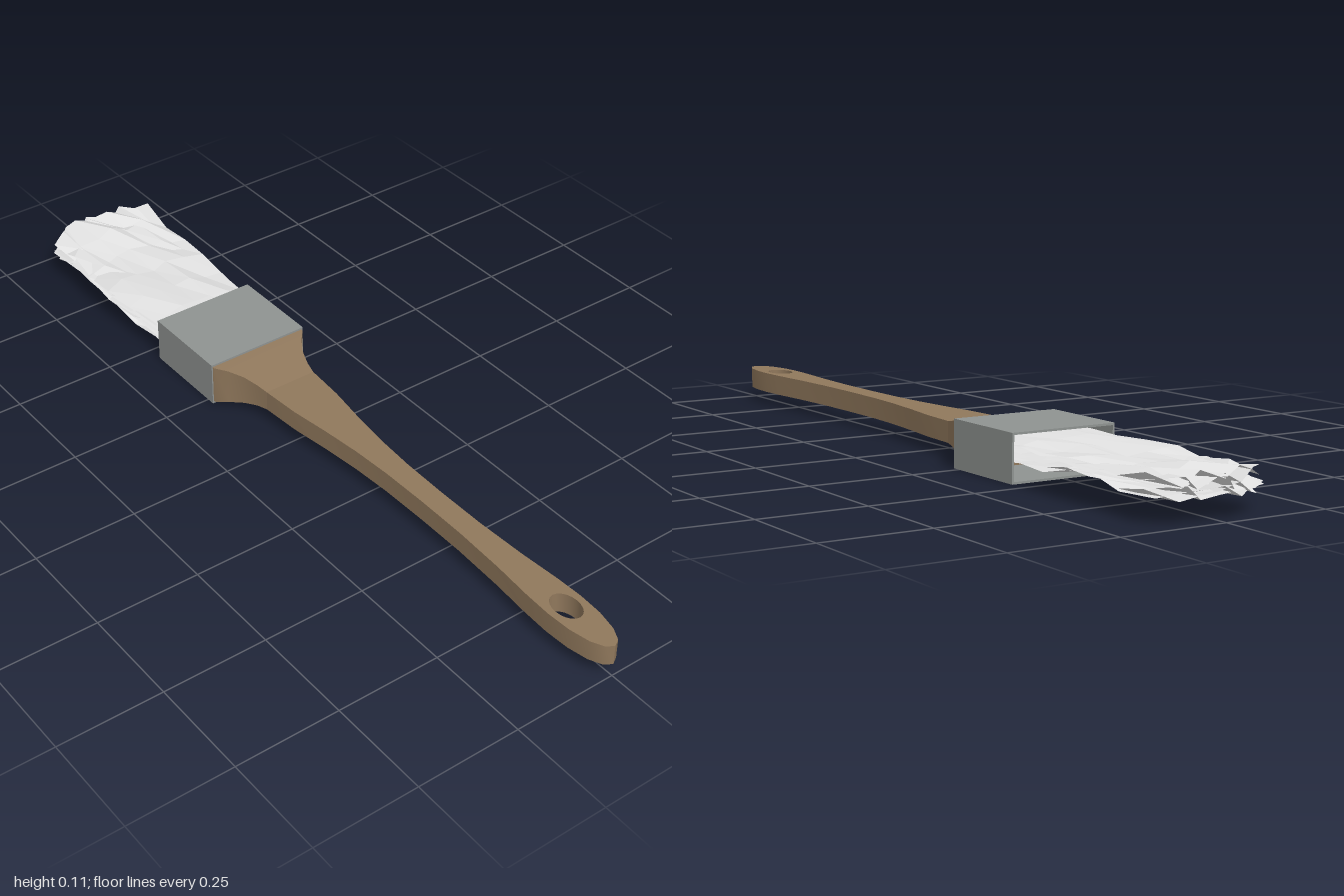
import * as THREE from 'three';
import { mergeVertices, toCreasedNormals } from 'three/addons/utils/BufferGeometryUtils.js';

const material = (name, color, extra = {}) => {
  const m = new THREE.MeshStandardMaterial({ color, ...extra });
  m.name = name;
  return m;
};

// Linear interpolation through a list of [x, value] pairs
function sample(table, x) {
  for (let i = 1; i < table.length; i++) {
    const [x0, a] = table[i - 1], [x1, b] = table[i];
    if (x <= x1) return a + (b - a) * Math.max(0, (x - x0) / (x1 - x0));
  }
  return table[table.length - 1][1];
}

// Small seeded random source
function seeded(seed) {
  return () => {
    seed = (seed * 16807) % 2147483647;
    return seed / 2147483647;
  };
}

// Flat grip with a hanging hole, drawn in plan and extruded upwards
function gripGeometry() {
  const side = [[-0.1, 0.067], [0, 0.06], [0.1, 0.046], [0.2, 0.035], [0.3, 0.029], [0.42, 0.027],
    [0.55, 0.028], [0.68, 0.034], [0.78, 0.042], [0.85, 0.045], [0.91, 0.042], [0.96, 0.032], [0.99, 0.017]];
  const outline = side.map(([x, w]) => new THREE.Vector2(x, -w));
  outline.push(new THREE.Vector2(1, 0));
  [...side].reverse().forEach(([x, w]) => outline.push(new THREE.Vector2(x, w)));
  const shape = new THREE.Shape(outline);
  const hole = new THREE.Path();
  hole.absellipse(0.855, 0, 0.042, 0.029, 0, Math.PI * 2, true);
  shape.holes.push(hole);
  const g = new THREE.ExtrudeGeometry(shape, { depth: 0.05, bevelEnabled: false, curveSegments: 10 });
  g.rotateX(-Math.PI / 2).translate(0, 0.033, 0);
  return toCreasedNormals(g, 0.6);
}

// Flared neck: rectangular sections [x, half width, bottom, top]
function neckGeometry() {
  const sections = [[-0.24, 0.131, 0.006, 0.106], [-0.225, 0.128, 0.007, 0.105], [-0.2, 0.106, 0.012, 0.101],
    [-0.165, 0.085, 0.021, 0.095], [-0.13, 0.073, 0.029, 0.088], [-0.1, 0.067, 0.033, 0.083]];
  const pos = [], index = [];
  sections.forEach(([x, w, b, t]) => pos.push(x, b, -w, x, b, w, x, t, w, x, t, -w));
  for (let i = 0; i < sections.length - 1; i++) {
    for (let k = 0; k < 4; k++) {
      const a = i * 4 + k, b = i * 4 + (k + 1) % 4;
      index.push(a, a + 4, b, b, a + 4, b + 4);
    }
  }
  const g = new THREE.BufferGeometry();
  g.setAttribute('position', new THREE.Float32BufferAttribute(pos, 3));
  g.setIndex(index);
  return toCreasedNormals(g, 0.6);
}

// Metal sleeve, open at the bristle end
function ferruleGeometry() {
  const rect = (path, w, b, t) => path.moveTo(-w, b).lineTo(w, b).lineTo(w, t).lineTo(-w, t).closePath();
  const shape = new THREE.Shape();
  rect(shape, 0.132, 0.001, 0.111);
  const inner = new THREE.Path();
  rect(inner, 0.127, 0.006, 0.106);
  shape.holes.push(inner);
  const g = new THREE.ExtrudeGeometry(shape, { depth: 0.23, bevelEnabled: false });
  return g.rotateY(Math.PI / 2).translate(-0.46, 0, 0);
}

// One crumpled layer of bristles; level runs from -1 (lowest) to 1 (highest)
function bristleGeometry(level, random) {
  const width = [[-1, 0.118], [-0.95, 0.138], [-0.85, 0.133], [-0.7, 0.143], [-0.57, 0.13], [-0.46, 0.124], [-0.3, 0.12]];
  const middle = [[-1, 0.07], [-0.93, 0.066], [-0.8, 0.075], [-0.68, 0.072], [-0.55, 0.066], [-0.46, 0.07], [-0.3, 0.06]];
  const spread = [[-1, 0.016], [-0.94, 0.03], [-0.8, 0.011], [-0.68, 0.016], [-0.55, 0.028], [-0.46, 0.03], [-0.3, 0.035]];
  const jitter = [[-1, 0.04], [-0.9, 0.034], [-0.8, 0.018], [-0.5, 0.014], [-0.46, 0.006], [-0.3, 0.004]];
  const g = mergeVertices(new THREE.PlaneGeometry(1, 2, 7, 6).rotateX(-Math.PI / 2));
  const p = g.attributes.position;
  for (let i = 0; i < p.count; i++) {
    const along = 0.5 - p.getX(i), across = p.getZ(i);
    const tip = -0.998 + 0.045 * Math.abs(across) ** 3 + 0.03 * random();
    const x = -0.3 + (tip + 0.3) * along;
    const loose = sample(jitter, x);
    const y = sample(middle, x) + sample(spread, x) * level * (1 - 0.25 * across * across)
      + loose * (random() - 0.5);
    const z = across * sample(width, x) + 0.7 * loose * (random() - 0.5);
    p.setXYZ(i, x, y, z);
  }
  g.computeVertexNormals();
  return g;
}

export function createModel() {
  const wood = material('wood', 0x90785c);
  const metal = material('metal', 0x8f9391);
  const bristle = material('bristle', 0xe2e2e2, { side: THREE.DoubleSide, flatShading: true });

  const model = new THREE.Group();
  model.name = 'paintBrush';
  const add = (name, geometry, mat, parent = model) => {
    const mesh = new THREE.Mesh(geometry, mat);
    mesh.name = name;
    parent.add(mesh);
  };

  const handle = new THREE.Group();
  handle.name = 'handle';
  model.add(handle);
  add('grip', gripGeometry(), wood, handle);
  add('neck', neckGeometry(), wood, handle);

  add('ferrule', ferruleGeometry(), metal);
  // Wooden plug closing the sleeve behind the bristles
  add('plug', new THREE.BoxGeometry(0.06, 0.1, 0.254).translate(-0.262, 0.056, 0), wood);

  const bristles = new THREE.Group();
  bristles.name = 'bristles';
  model.add(bristles);
  const random = seeded(4711);
  const layers = 6;
  for (let i = 0; i < layers; i++) {
    add('bristleLayer', bristleGeometry((2 * i) / (layers - 1) - 1, random), bristle, bristles);
  }
  return model;
}
